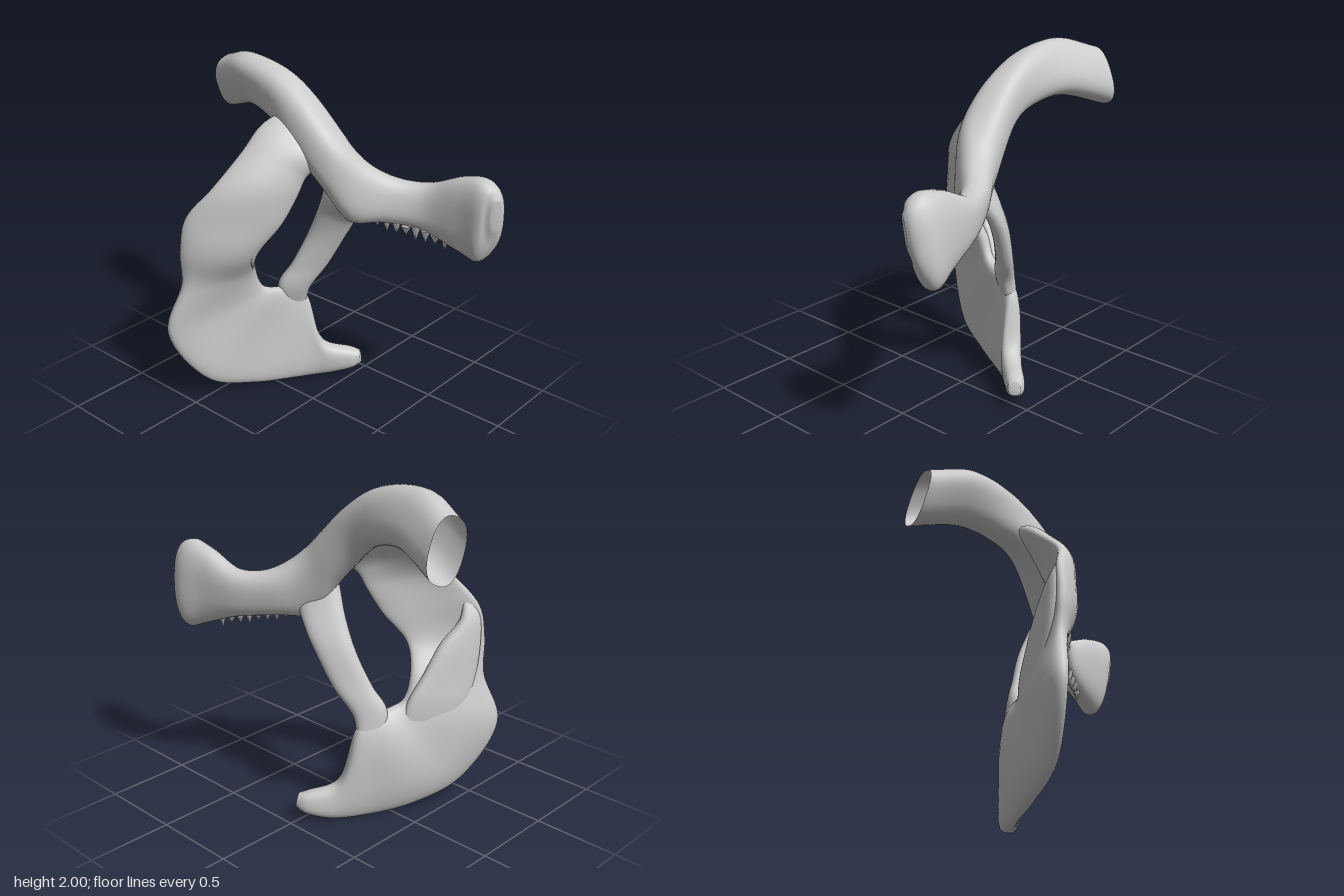
import * as THREE from 'three';

const material = new THREE.MeshStandardMaterial({ color: 0xcccccc, side: THREE.DoubleSide });
const V = (x, y, z) => new THREE.Vector3(x, y, z);

// Lofts a rounded section between two edge curves.
// station: [edge A xyz, edge B xyz, half thickness, bow of the middle]
function loft(name, stations, { openStart = false, power = 0.8, steps = 8, sides = 32 } = {}) {
  const edgeA = new THREE.CatmullRomCurve3(stations.map(s => V(s[0], s[1], s[2])));
  const edgeB = new THREE.CatmullRomCurve3(stations.map(s => V(s[3], s[4], s[5])));
  const size = new THREE.CatmullRomCurve3(stations.map((s, i) => V(s[6], s[7] || 0, i)));
  const middle = t => edgeA.getPoint(t).add(edgeB.getPoint(t)).multiplyScalar(0.5);
  const rows = (stations.length - 1) * steps;
  const pos = [], index = [];
  const soft = v => Math.sign(v) * Math.abs(v) ** power;
  for (let i = 0; i <= rows; i++) {
    const t = i / rows;
    const c = middle(t);
    const w = edgeB.getPoint(t).sub(edgeA.getPoint(t)).multiplyScalar(0.5);
    const tangent = middle(Math.min(1, t + 0.03)).sub(middle(Math.max(0, t - 0.03)));
    const n = tangent.cross(w).normalize();
    const s = size.getPoint(t);
    for (let j = 0; j < sides; j++) {
      const a = (j / sides) * Math.PI * 2;
      const k = soft(Math.cos(a));
      const p = c.clone().addScaledVector(w, k)
        .addScaledVector(n, soft(Math.sin(a)) * s.x + s.y * (1 - k * k));
      pos.push(p.x, p.y, p.z);
      if (i < rows) {
        const j2 = (j + 1) % sides, r = i * sides, q = r + sides;
        index.push(r + j, r + j2, q + j2, r + j, q + j2, q + j);
      }
    }
  }
  // End caps
  const cap = (row, flip) => {
    const id = pos.length / 3, c = V(0, 0, 0);
    for (let j = 0; j < sides; j++) c.add(V().fromArray(pos, (row * sides + j) * 3));
    c.divideScalar(sides);
    pos.push(c.x, c.y, c.z);
    for (let j = 0; j < sides; j++) {
      const a = row * sides + j, b = row * sides + (j + 1) % sides;
      index.push(id, flip ? b : a, flip ? a : b);
    }
  };
  if (!openStart) cap(0, true);
  cap(rows, false);
  const g = new THREE.BufferGeometry();
  g.setAttribute('position', new THREE.Float32BufferAttribute(pos, 3));
  g.setIndex(index);
  g.computeVertexNormals();
  const mesh = new THREE.Mesh(g, material);
  mesh.name = name;
  return mesh;
}

// Small pointed splinter hanging from a ragged edge
function splinter(name, x, y, z, length, radius) {
  const mesh = new THREE.Mesh(new THREE.ConeGeometry(radius, length, 6), material);
  mesh.rotation.x = Math.PI;
  mesh.position.set(x, y, z);
  mesh.name = name;
  return mesh;
}

export function createModel() {
  const group = new THREE.Group();
  group.name = 'hipBone';

  // Upper branch: hollow open end at the back, arching forward to a flared end
  group.add(loft('upperBranch', [
    [0.21, 1.92, -0.885, 0.34, 1.605, -0.89, 0.11],
    [0.115, 1.99, -0.64, 0.25, 1.695, -0.6, 0.105],
    [0.115, 1.955, -0.34, 0.17, 1.665, -0.4, 0.11],
    [0.14, 1.835, -0.13, 0.11, 1.59, -0.24, 0.12],
    [0.17, 1.67, 0.04, 0.12, 1.39, -0.05, 0.13],
    [0.27, 1.5, 0.17, 0.17, 1.17, 0.12, 0.105],
    [0.37, 1.415, 0.3, 0.3, 1.16, 0.27, 0.085],
    [0.44, 1.405, 0.46, 0.42, 1.13, 0.46, 0.08],
    [0.46, 1.49, 0.67, 0.48, 1.05, 0.67, 0.09],
    [0.46, 1.515, 0.81, 0.51, 1.01, 0.79, 0.1],
    [0.45, 1.48, 0.88, 0.5, 1.08, 0.85, 0.08],
    [0.44, 1.42, 0.91, 0.46, 1.24, 0.9, 0.03],
  ], { openStart: true }));

  // Broad band sweeping down the outer side, fanning into the lower plate and its hook
  group.add(loft('ringPlate', [
    [0.12, 1.76, -0.28, 0.13, 1.6, -0.08, 0.04],
    [-0.04, 1.68, -0.35, 0.07, 1.48, -0.04, 0.06, 0.03],
    [-0.19, 1.56, -0.36, 0.03, 1.41, -0.08, 0.055, 0.045],
    [-0.37, 1.39, -0.41, -0.01, 1.32, -0.1, 0.05, 0.05],
    [-0.48, 1.2, -0.53, -0.1, 1.16, -0.14, 0.05, 0.045],
    [-0.515, 1.0, -0.55, -0.2, 0.98, -0.24, 0.055, 0.03],
    [-0.515, 0.79, -0.55, -0.13, 0.82, -0.33, 0.06, 0.01],
    [-0.59, 0.48, -0.61, -0.07, 0.69, -0.33, 0.065, -0.02],
    [-0.4, 0.13, -0.49, 0.0, 0.66, -0.3, 0.07, -0.03],
    [-0.13, 0.03, -0.37, 0.1, 0.64, -0.27, 0.07, -0.03],
    [0.1, 0.005, -0.25, 0.19, 0.58, -0.23, 0.06, -0.01],
    [0.3, 0.01, -0.12, 0.26, 0.24, -0.14, 0.06],
    [0.4, 0.045, -0.02, 0.38, 0.18, -0.03, 0.055],
    [0.43, 0.08, 0.025, 0.415, 0.16, 0.02, 0.035],
  ]));

  // Thick rear rim behind the band, fading into the plate below and the band above
  group.add(loft('rearRim', [
    [-0.25, 0.42, -0.47, -0.02, 0.48, -0.35, 0.03],
    [-0.38, 0.62, -0.53, -0.06, 0.68, -0.37, 0.05],
    [-0.45, 0.8, -0.54, -0.15, 0.84, -0.41, 0.05],
    [-0.48, 0.98, -0.54, -0.25, 1.0, -0.44, 0.05],
    [-0.48, 1.14, -0.53, -0.37, 1.13, -0.48, 0.035],
    [-0.45, 1.26, -0.48, -0.42, 1.25, -0.46, 0.01],
  ]));

  // Slim strut closing the inner side of the opening, tapering into both neighbours
  group.add(loft('innerStrut', [
    [0.13, 1.5, 0.01, 0.2, 1.42, 0.1, 0.02],
    [0.12, 1.36, -0.02, 0.26, 1.25, 0.15, 0.06],
    [0.14, 1.18, -0.09, 0.3, 1.11, 0.06, 0.05],
    [0.14, 1.0, -0.17, 0.29, 1.0, 0.0, 0.05],
    [0.09, 0.8, -0.25, 0.25, 0.8, -0.1, 0.05],
    [0.04, 0.67, -0.31, 0.19, 0.64, -0.19, 0.055],
    [0.06, 0.53, -0.31, 0.19, 0.52, -0.23, 0.04],
    [0.1, 0.42, -0.28, 0.16, 0.42, -0.25, 0.01],
  ]));

  // Ragged splinters under the upper branch and on the inner rim of the band
  for (let i = 0; i < 8; i++) {
    const z = 0.24 + i * 0.05;
    group.add(splinter('lowerEdgeSplinter', 0.28 + i * 0.024, 1.16 - i * 0.012, z, 0.06 + 0.02 * (i * 5 % 3), 0.032));
  }
  group.add(splinter('rimSplinter', -0.235, 0.94, -0.25, 0.12, 0.03));
  group.add(splinter('rimSplinter', -0.275, 0.96, -0.27, 0.08, 0.03));
  return group;
}
